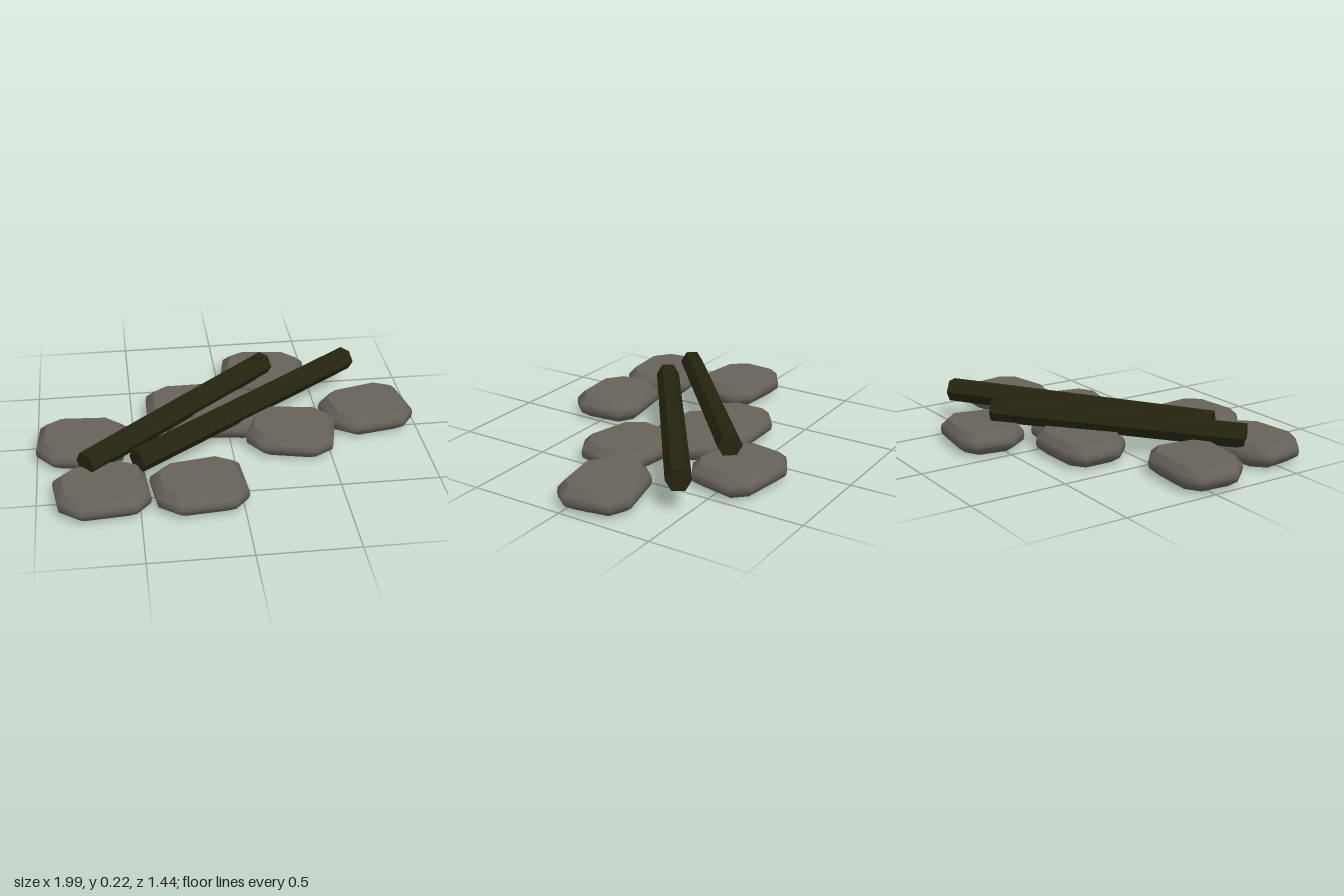
import * as THREE from 'three';

// Shared stone outline, (x, z) around its centre, seen from above
const OUTLINE = [
  [-0.125, -0.192], [0.15, -0.173], [0.237, -0.096], [0.205, 0.137],
  [0.115, 0.2], [-0.152, 0.162], [-0.238, 0.06], [-0.22, -0.133],
];
// Height and outline scale of each ring
const RINGS = [[0, 0.76], [0.035, 0.98], [0.06, 1], [0.085, 0.98], [0.12, 0.82]];

// Smooth rounded side with separate flat caps
function stoneGeometry() {
  const n = OUTLINE.length;
  const pos = [];
  const index = [];
  const addRing = ([y, s]) => OUTLINE.forEach(([x, z]) => pos.push(x * s, y, z * s));
  RINGS.forEach(addRing);
  for (let r = 0; r < RINGS.length - 1; r++) {
    for (let i = 0; i < n; i++) {
      const a = r * n + i;
      const b = r * n + (i + 1) % n;
      index.push(a, a + n, b, b, a + n, b + n);
    }
  }
  const bottom = pos.length / 3;
  addRing(RINGS[0]);
  const top = pos.length / 3;
  addRing(RINGS[RINGS.length - 1]);
  for (let i = 1; i < n - 1; i++) {
    index.push(bottom, bottom + i, bottom + i + 1);
    index.push(top, top + i + 1, top + i);
  }
  const geometry = new THREE.BufferGeometry();
  geometry.setAttribute('position', new THREE.Float32BufferAttribute(pos, 3));
  geometry.setIndex(index);
  geometry.computeVertexNormals();
  return geometry;
}

// Six-sided log between two points, with a flat side up
function makeLog(from, to, material) {
  const a = new THREE.Vector3(...from);
  const b = new THREE.Vector3(...to);
  const geometry = new THREE.CylinderGeometry(0.063, 0.063, a.distanceTo(b), 6);
  geometry.rotateY(Math.PI / 6).rotateX(Math.PI / 2);
  const log = new THREE.Mesh(geometry, material);
  log.position.copy(a).add(b).multiplyScalar(0.5);
  log.lookAt(b);
  return log;
}

export function createModel() {
  const model = new THREE.Group();
  model.name = 'stonesAndLogs';
  const stoneGrey = new THREE.MeshStandardMaterial({ color: 0x66625a });
  stoneGrey.name = 'stoneGrey';
  const darkWood = new THREE.MeshStandardMaterial({ color: 0x25240f, flatShading: true });
  darkWood.name = 'darkWood';

  // Stones: x, z, turn in degrees (clockwise from above)
  const stones = [
    [0.25, -0.524, 4], [-0.19, -0.205, -4.5], [-0.01, -0.128, 0], [0.315, 0.086, 5],
    [0.75, -0.086, -18], [-0.765, 0.07, 0], [-0.675, 0.503, -13], [-0.203, 0.519, -13],
  ];
  const geometry = stoneGeometry();
  stones.forEach(([x, z, turn], i) => {
    const stone = new THREE.Mesh(geometry, stoneGrey);
    stone.name = `stone${i + 1}`;
    stone.position.set(x, 0, z);
    stone.rotation.y = -THREE.MathUtils.degToRad(turn);
    model.add(stone);
  });

  // Two logs lying across the stones
  const logs = [
    [[-0.755, 0.145, 0.385], [0.245, 0.17, -0.465]],
    [[-0.5, 0.145, 0.385], [0.705, 0.17, -0.465]],
  ];
  logs.forEach(([from, to], i) => {
    const log = makeLog(from, to, darkWood);
    log.name = `log${i + 1}`;
    model.add(log);
  });
  return model;
}
